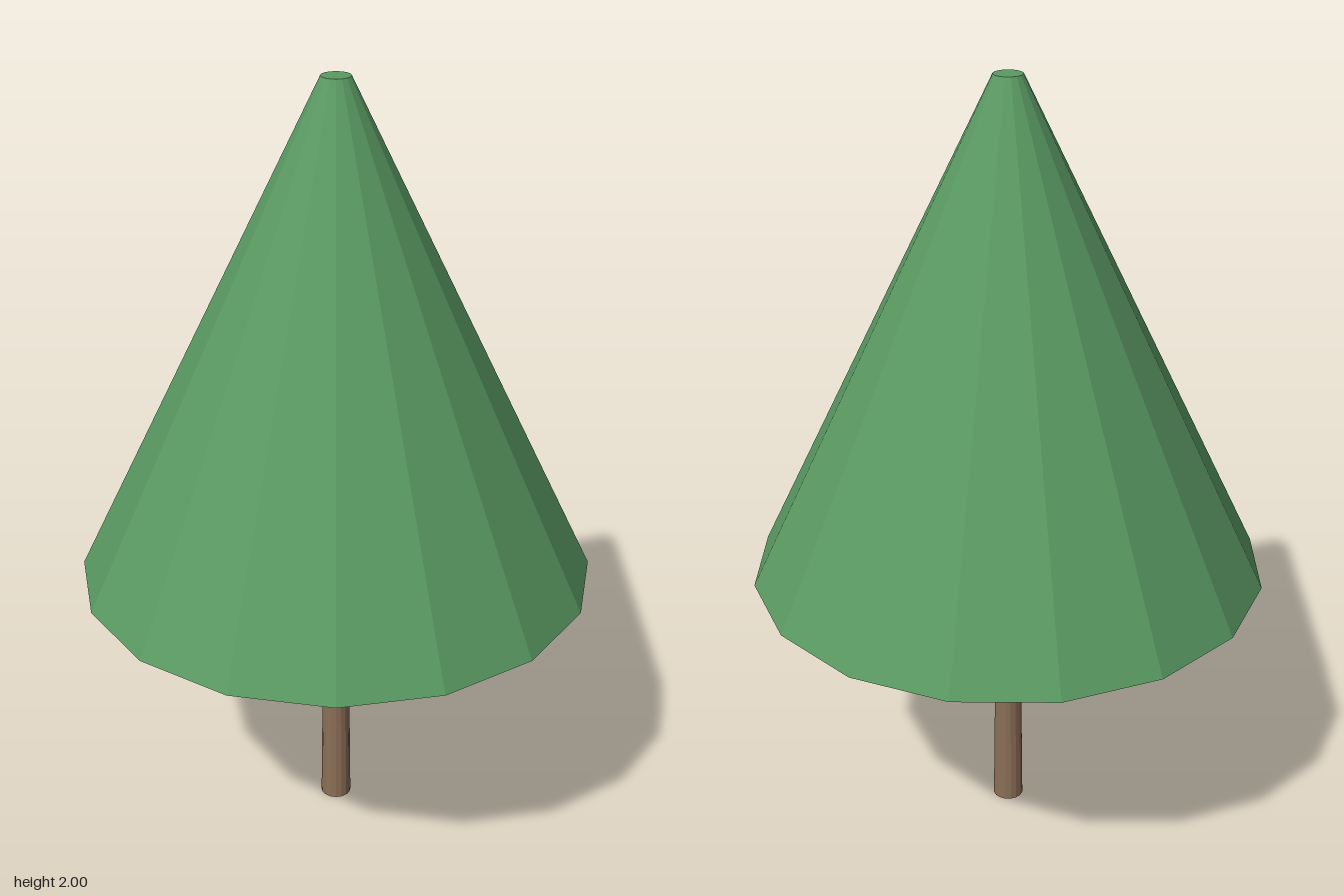
import * as THREE from 'three';

const SIDES = 16;

// Tapered column standing on the given base height
function taperedPart(name, topRadius, bottomRadius, baseY, topY, material) {
  const geometry = new THREE.CylinderGeometry(topRadius, bottomRadius, topY - baseY, SIDES).toNonIndexed();
  geometry.computeVertexNormals(); // flat facets
  const mesh = new THREE.Mesh(geometry, material);
  mesh.name = name;
  mesh.position.y = (baseY + topY) / 2;
  return mesh;
}

export function createModel() {
  const leafGreen = new THREE.MeshStandardMaterial({ color: 0x5a9a63 });
  leafGreen.name = 'leafGreen';
  const barkBrown = new THREE.MeshStandardMaterial({ color: 0x8b6f56 });
  barkBrown.name = 'barkBrown';

  const tree = new THREE.Group();
  tree.name = 'coniferTree';

  // Slim trunk, running slightly into the foliage
  tree.add(taperedPart('trunk', 0.031, 0.04, 0, 0.76, barkBrown));
  // Single cone of foliage with a small blunt tip
  tree.add(taperedPart('foliage', 0.036, 0.653, 0.73, 2, leafGreen));

  return tree;
}
